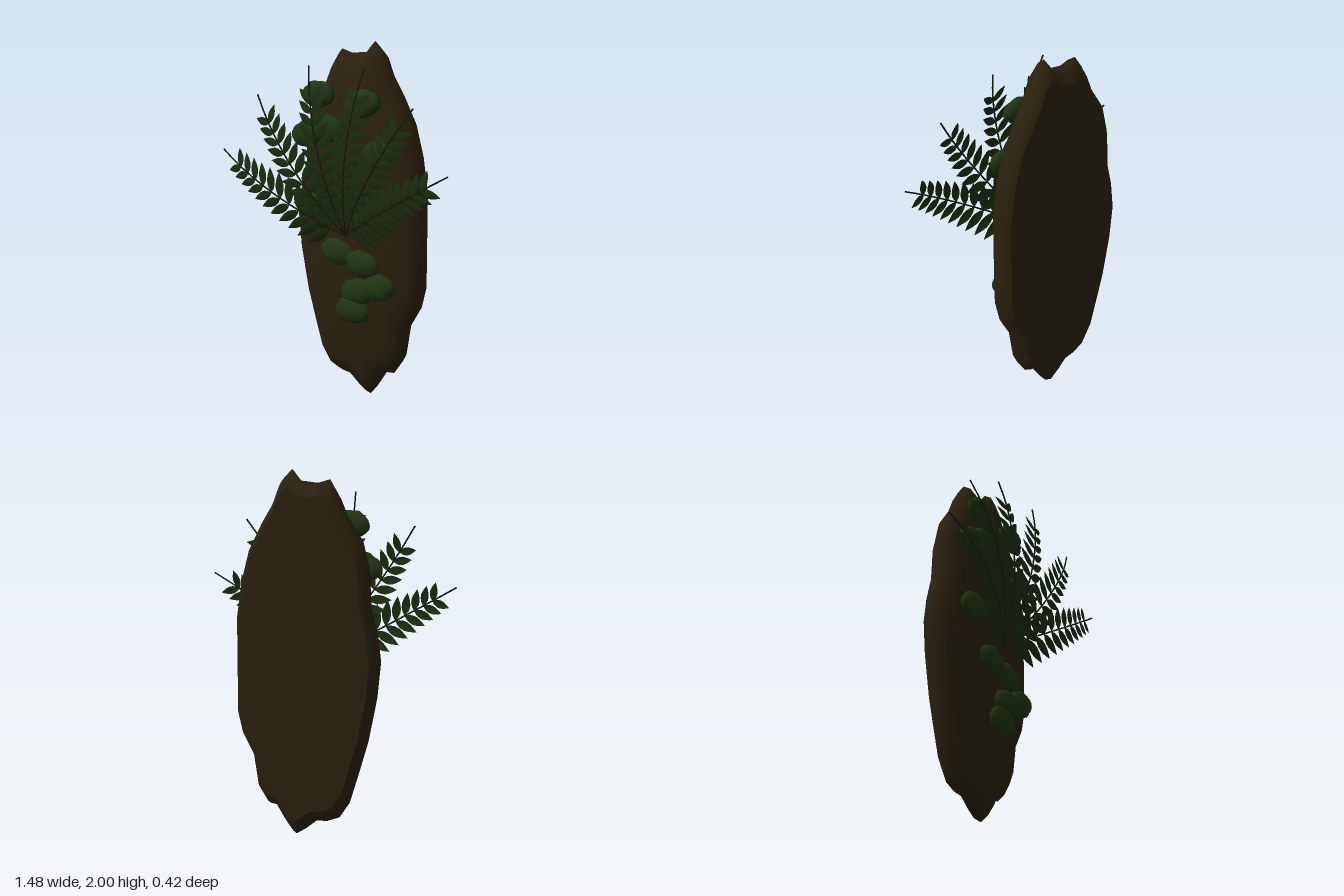
import * as THREE from 'three';
import { mergeGeometries } from 'three/addons/utils/BufferGeometryUtils.js';

const mat = (name, color, side = THREE.FrontSide) => {
  const m = new THREE.MeshStandardMaterial({ color, side });
  m.name = name;
  return m;
};

// Indexed surface from flat positions
function surface(pos, idx) {
  const g = new THREE.BufferGeometry();
  g.setAttribute('position', new THREE.Float32BufferAttribute(pos, 3));
  g.setIndex(idx);
  g.computeVertexNormals();
  return g;
}

// Ragged bark outline, counter-clockwise from the top
const OUTLINE = [
  [0.07, 2], [0.02, 1.94], [-0.08, 1.93], [-0.15, 1.95], [-0.2, 1.87], [-0.24, 1.78],
  [-0.33, 1.65], [-0.37, 1.5], [-0.38, 1.3], [-0.42, 1.15], [-0.44, 1], [-0.42, 0.8],
  [-0.37, 0.55], [-0.32, 0.38], [-0.27, 0.22], [-0.21, 0.13], [-0.14, 0.1], [-0.07, 0.09],
  [-0.01, 0.04], [0.05, 0], [0.1, 0.06], [0.16, 0.15], [0.21, 0.155], [0.27, 0.24],
  [0.3, 0.42], [0.37, 0.54], [0.4, 0.66], [0.4, 0.9], [0.4, 1.2], [0.37, 1.4],
  [0.32, 1.58], [0.24, 1.73], [0.17, 1.84], [0.13, 1.94],
];

// Scaled outlines stacked in z: [scale, z]
const RINGS = [[0.92, -0.213], [0.97, -0.19], [1, -0.145], [0.97, -0.1], [0.9, -0.065],
  [0.78, -0.038], [0.6, -0.015], [0.38, 0.002], [0.18, 0.01]];

function barkFront() {
  const n = OUTLINE.length, pos = [], idx = [];
  for (const [s, z] of RINGS) for (const [x, y] of OUTLINE) pos.push(x * s, 1 + (y - 1) * s, z);
  for (let r = 0; r < RINGS.length - 1; r++) {
    for (let i = 0; i < n; i++) {
      const j = (i + 1) % n, a = r * n + i, b = r * n + j;
      idx.push(a, b, b + n, a, b + n, a + n);
    }
  }
  const last = (RINGS.length - 1) * n;
  pos.push(0, 1, 0.014);
  for (let i = 0; i < n; i++) idx.push(last + i, last + (i + 1) % n, last + n);
  return surface(pos, idx);
}

function barkBack() {
  const n = OUTLINE.length, [s, z] = RINGS[0], pos = [], idx = [];
  for (const [x, y] of OUTLINE) pos.push(x * s, 1 + (y - 1) * s, z);
  pos.push(0, 1, z);
  for (let i = 0; i < n; i++) idx.push((i + 1) % n, i, n);
  return surface(pos, idx);
}

// Flattened cushion with soft lobes
function padGeometry(seed) {
  const g = new THREE.SphereGeometry(1, 24, 16);
  const p = g.attributes.position;
  for (let i = 0; i < p.count; i++) {
    const x = p.getX(i), y = p.getY(i), z = p.getZ(i);
    const k = 1 + 0.05 * Math.sin(5 * x + seed) * Math.cos(4 * y + 2 * seed) + 0.03 * Math.sin(9 * x + 5 * y + seed);
    p.setXYZ(i, x * k * 0.108, y * k * 0.074, z * k * 0.04);
  }
  g.computeVertexNormals();
  return g;
}

// Pointed, slightly folded leaflet along +y, drooping at the tip
function leafletGeometry(length, width) {
  const pos = [], idx = [], rows = 6;
  for (let i = 0; i <= rows; i++) {
    const t = i / rows;
    const w = width * 0.5 * Math.sin(Math.PI * Math.pow(t, 0.85));
    const z = 0.03 * length - 0.18 * length * t * t;
    pos.push(-w, t * length, z - w * 0.25, 0, t * length, z, w, t * length, z - w * 0.25);
  }
  for (let i = 0; i < rows; i++) {
    for (let k = 0; k < 2; k++) {
      const a = i * 3 + k;
      idx.push(a, a + 1, a + 4, a, a + 4, a + 3);
    }
  }
  return surface(pos, idx);
}

// Frond: arching stem with paired leaflets
function createFrond({ x, y, rise, fall }, side, leafMat, stemMat) {
  const at = (t) => new THREE.Vector3(side * x * t, 0.95 + y * t, 0.03 + rise * t - fall * t * t);
  const curve = new THREE.CatmullRomCurve3(Array.from({ length: 9 }, (_, i) => at(i / 8)));
  const leaves = [], pairs = 11;
  for (let i = 0; i < pairs; i++) {
    const f = i / (pairs - 1), t = 0.1 + 0.7 * f;
    const along = at(t + 0.01).sub(at(t - 0.01)).normalize();
    const across = new THREE.Vector3(along.y, -along.x, 0).normalize();
    const out = new THREE.Vector3().crossVectors(across, along);
    const spread = THREE.MathUtils.lerp(1.15, 0.78, f);
    for (const s of [-1, 1]) {
      const g = leafletGeometry(THREE.MathUtils.lerp(0.18, 0.11, f), THREE.MathUtils.lerp(0.058, 0.045, f));
      g.rotateZ(-s * spread);
      g.applyMatrix4(new THREE.Matrix4().makeBasis(across, along, out).setPosition(at(t)));
      leaves.push(g);
    }
  }
  const frond = new THREE.Group();
  const leafMesh = new THREE.Mesh(mergeGeometries(leaves), leafMat);
  leafMesh.name = 'leaflets';
  const stem = new THREE.Mesh(new THREE.TubeGeometry(curve, 20, 0.0045, 6), stemMat);
  stem.name = 'stem';
  frond.add(leafMesh, stem);
  return frond;
}

export function createModel() {
  const model = new THREE.Group();
  model.name = 'mountedFern';
  const barkMat = mat('bark brown', 0x2a210f);
  const padMat = mat('moss green', 0x203412);
  const leafMat = mat('fern green', 0x1b2b10, THREE.DoubleSide);
  const stemMat = mat('stem olive', 0x171c0c);

  // Bark slab
  const bark = new THREE.Group();
  bark.name = 'barkSlab';
  const front = new THREE.Mesh(barkFront(), barkMat);
  front.name = 'barkFace';
  const back = new THREE.Mesh(barkBack(), barkMat);
  back.name = 'barkBack';
  bark.add(front, back);
  model.add(bark);

  // Moss cushions: x, y, tilt
  const moss = [[-0.2, 1.71, 0.1], [0.1, 1.68, 0.2], [-0.28, 1.49, 0.3], [-0.14, 1.53, -0.2],
    [0.2, 1.42, 0.2], [-0.25, 1.1, 0.1], [-0.07, 0.85, -0.1], [0.09, 0.8, -0.1],
    [0.2, 0.68, 0.15], [0.06, 0.64, 0.1], [0.03, 0.53, 0]];
  moss.forEach(([x, y, tilt], i) => {
    const pad = new THREE.Mesh(padGeometry(i * 1.7), padMat);
    pad.name = 'mossCushion' + (i + 1);
    pad.position.set(x, y, 0.004);
    pad.rotation.z = tilt;
    model.add(pad);
  });

  // Mirrored fan of fronds
  const fronds = [
    { name: 'outerFrond', x: 0.74, y: 0.43, rise: 0.48, fall: 0.33 },
    { name: 'middleFrond', x: 0.51, y: 0.75, rise: 0.46, fall: 0.34 },
    { name: 'innerFrond', x: 0.18, y: 0.925, rise: 0.44, fall: 0.355 },
  ];
  for (const f of fronds) {
    for (const side of [-1, 1]) {
      const frond = createFrond(f, side, leafMat, stemMat);
      frond.name = (side > 0 ? 'left ' : 'right ') + f.name;
      model.add(frond);
    }
  }
  return model;
}
